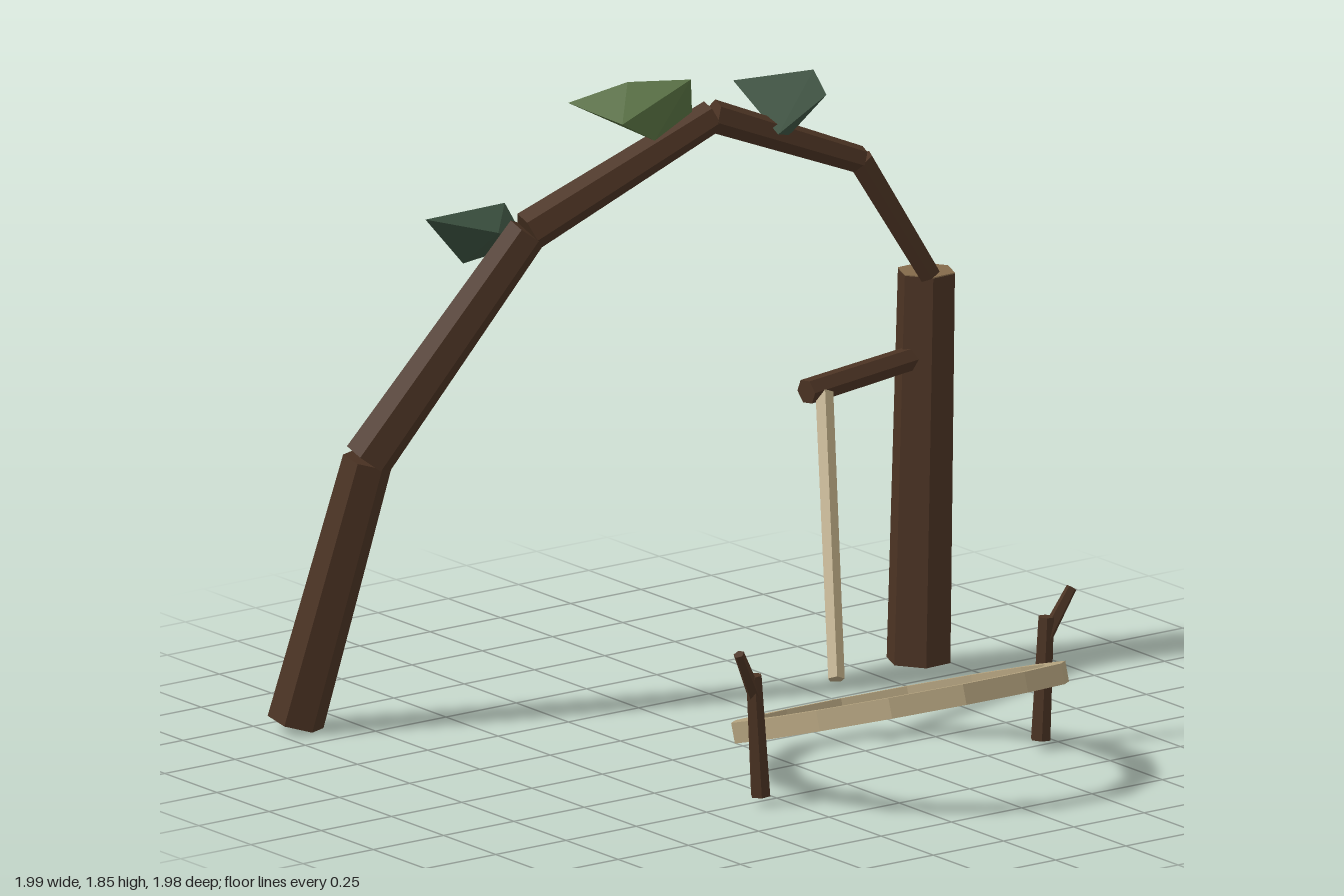
import * as THREE from 'three';
import { ConvexGeometry } from 'three/addons/geometries/ConvexGeometry.js';

const material = (name, color) => {
  const m = new THREE.MeshStandardMaterial({ color });
  m.name = name;
  return m;
};

export function createModel() {
  const model = new THREE.Group();
  model.name = 'branchArch';

  const bark = material('darkBark', 0x4b3323);
  const cutWood = material('cutWood', 0x846a4a);
  const paleWood = material('paleWood', 0xb3a27e);
  const darkLeaf = material('darkLeaf', 0x3a4f3e);
  const brightLeaf = material('brightLeaf', 0x526a3d);

  const V = (p) => new THREE.Vector3(...p);

  // Gives every face its own normal, for a faceted look
  function addFaceted(name, geometry, mat) {
    const flat = geometry.index ? geometry.toNonIndexed() : geometry;
    flat.computeVertexNormals();
    const mesh = new THREE.Mesh(flat, mat);
    mesh.name = name;
    model.add(mesh);
    return mesh;
  }

  // Tapered straight stick from a to b
  function addStick(name, a, b, ra, rb, mat, sides = 6, roll = 0) {
    const start = V(a), end = V(b);
    const dir = end.clone().sub(start);
    const geometry = new THREE.CylinderGeometry(rb, ra, dir.length(), sides);
    geometry.rotateY(roll);
    const mesh = addFaceted(name, geometry, mat);
    mesh.quaternion.setFromUnitVectors(new THREE.Vector3(0, 1, 0), dir.normalize());
    mesh.position.copy(start).add(end).multiplyScalar(0.5);
    return mesh;
  }

  // Bent arch made of five thinning branches
  const arch = [
    [-0.92, 0.02, -0.905], [-0.76, 0.8, -0.775], [-0.335, 1.45, -0.58],
    [0.225, 1.73, -0.45], [0.68, 1.545, -0.355], [0.89, 1.18, -0.305],
  ];
  const radii = [[0.083, 0.073], [0.073, 0.06], [0.06, 0.048], [0.048, 0.04], [0.04, 0.034]];
  radii.forEach(([ra, rb], i) =>
    addStick('archBranch' + (i + 1), arch[i], arch[i + 1], ra, rb, bark));

  // Upright post with its sawn top
  const postRoll = Math.PI / 6 + 0.12;
  addStick('post', [0.888, 0.025, -0.355], [0.916, 1.175, -0.355], 0.095, 0.085, bark, 6, postRoll);
  addStick('postTop', [0.916, 1.174, -0.355], [0.9161, 1.178, -0.355], 0.085, 0.085, cutWood, 6, postRoll);

  // Side arm and the pale rod hanging from it
  addStick('sideArm', [0.448, 0.907, -0.3], [0.88, 0.932, -0.345], 0.038, 0.036, bark);
  addStick('hangingRod', [0.5, 0.9, -0.285], [0.228, 0.19, 0.14], 0.027, 0.025, paleWood, 5);

  // Tilted fourteen-sided hoop with a square section
  const hoopProfile = [[0.435, -0.03], [0.492, -0.03], [0.492, 0.03], [0.435, 0.03], [0.435, -0.03]]
    .map(([x, y]) => new THREE.Vector2(x, y));
  const hoop = addFaceted('hoop', new THREE.LatheGeometry(hoopProfile, 14, Math.PI / 2), paleWood);
  hoop.position.set(0.172, 0.218, 0.522);
  hoop.rotation.x = -0.305;

  // Forked stakes on both sides of the hoop
  for (const [side, name] of [[1, 'left'], [-1, 'right']]) {
    const at = (x, y, z) => [0.172 + side * x, y, z];
    addStick(name + 'Stake', at(0.498, 0.025, 0.525), at(0.52, 0.385, 0.522), 0.03, 0.024, bark, 6, Math.PI / 6);
    addStick(name + 'Fork', at(0.515, 0.32, 0.522), at(0.592, 0.465, 0.547), 0.022, 0.016, bark, 5);
  }

  // Faceted leaves along the arch
  const leaves = [
    ['lowLeaf', darkLeaf, [
      [-0.61, 1.505, -0.7], [-0.45, 1.34, -0.735], [-0.28, 1.39, -0.66],
      [-0.28, 1.485, -0.765], [-0.41, 1.45, -0.62]]],
    ['crownLeaf', brightLeaf, [
      [-0.11, 1.77, -0.69], [0.17, 1.66, -0.66], [0.16, 1.845, -0.465],
      [0.02, 1.835, -0.58], [-0.08, 1.75, -0.47], [0.02, 1.69, -0.45], [0.16, 1.75, -0.46]]],
    ['farLeaf', darkLeaf, [
      [0.41, 1.77, -0.6], [0.6, 1.8, -0.47], [0.575, 1.75, -0.375],
      [0.385, 1.67, -0.35], [0.44, 1.655, -0.37], [0.46, 1.7, -0.48]]],
  ];
  for (const [name, mat, points] of leaves) {
    addFaceted(name, new ConvexGeometry(points.map(V)), mat);
  }

  return model;
}
